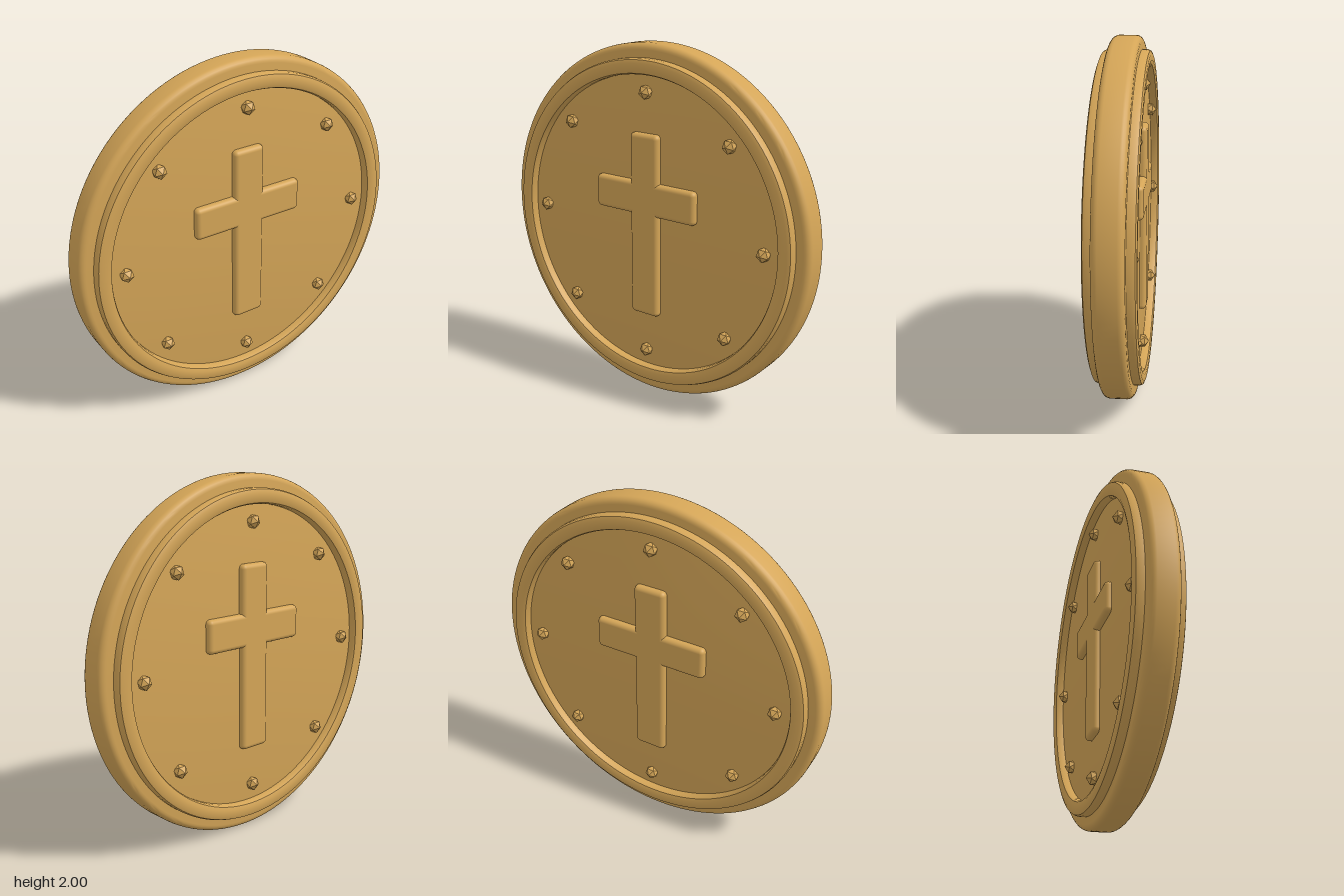
import * as THREE from 'three';
import { toCreasedNormals } from 'three/addons/utils/BufferGeometryUtils.js';
import { RoundedBoxGeometry } from 'three/addons/geometries/RoundedBoxGeometry.js';

const FLOOR = 0.08; // half thickness of the disc

export function createModel() {
  const gold = new THREE.MeshStandardMaterial({ color: 0xd4a557 });
  gold.name = 'gold';
  const studGold = gold.clone();
  studGold.name = 'faceted gold';
  studGold.flatShading = true;

  const model = new THREE.Group();
  model.name = 'medallion';

  const add = (parent, name, geometry, material, x = 0, y = 0, z = 0) => {
    const mesh = new THREE.Mesh(geometry, material);
    mesh.name = name;
    mesh.position.set(x, y, z);
    parent.add(mesh);
    return mesh;
  };

  // Spin a profile of [radius, z] points around the z axis
  const spin = (points) => {
    const lathe = new THREE.LatheGeometry(points.map(([r, z]) => new THREE.Vector2(r, z)), 128);
    return toCreasedNormals(lathe.rotateX(Math.PI / 2), 0.5);
  };

  // Disc with a rounded rim
  const round = 0.035;
  const profile = [[0, -FLOOR]];
  for (const side of [-1, 1]) {
    for (let i = 0; i <= 5; i++) {
      const a = (side < 0 ? i - 5 : i) / 5 * Math.PI / 2;
      profile.push([1 - round + round * Math.cos(a), side * (FLOOR - round) + round * Math.sin(a)]);
    }
  }
  profile.push([0, FLOOR]);
  add(model, 'disc', spin(profile), gold, 0, 1, 0);

  // Shared shapes for both faces
  const ring = spin([
    [0.925, FLOOR - 0.01], [0.925, 0.108], [0.918, 0.123], [0.9, 0.13],
    [0.866, 0.13], [0.847, 0.123], [0.84, 0.108], [0.84, FLOOR - 0.01],
  ]);
  const upright = new RoundedBoxGeometry(0.186, 1.045, 0.08, 4, 0.025);
  const crossbar = new RoundedBoxGeometry(0.666, 0.186, 0.08, 4, 0.025);
  // One corner of each stud points straight out
  const stud = new THREE.IcosahedronGeometry(0.041, 0).rotateX(Math.atan(2 / (1 + Math.sqrt(5))));

  for (const [name, turn] of [['front', 0], ['back', Math.PI]]) {
    const face = new THREE.Group();
    face.name = name + 'Face';
    face.position.y = 1;
    face.rotation.y = turn;
    model.add(face);

    add(face, 'raisedRing', ring, gold);

    // Cross
    add(face, 'crossUpright', upright, gold, 0, 0.003, 0.077);
    add(face, 'crossBar', crossbar, gold, 0, 0.163, 0.077);

    // Studs around the face
    for (let i = 0; i < 8; i++) {
      const a = i * Math.PI / 4;
      add(face, 'stud', stud, studGold, 0.747 * Math.cos(a), 0.747 * Math.sin(a), 0.088);
    }
  }
  return model;
}
